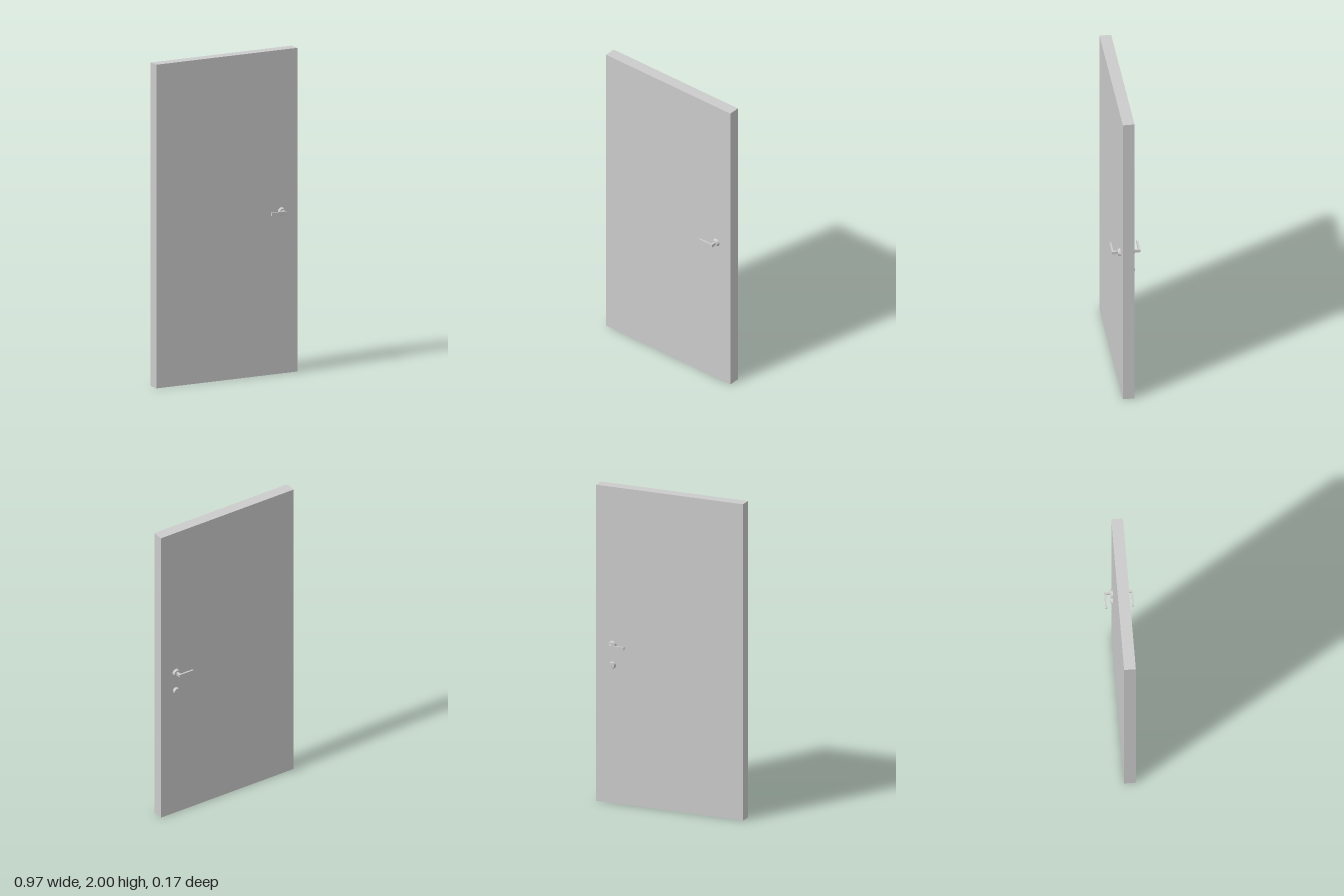
import * as THREE from 'three';

const material = new THREE.MeshStandardMaterial({ color: 0xcccccc });
const HALF_DEPTH = 0.0355; // half the thickness of the door leaf
const HANDLE_X = 0.376;

function add(parent, name, geometry, x = 0, y = 0, z = 0) {
  const mesh = new THREE.Mesh(geometry, material);
  mesh.name = name;
  mesh.position.set(x, y, z);
  parent.add(mesh);
  return mesh;
}

// Tapered round plate, its base on z = 0 and its face toward +z
function roseGeometry(baseRadius, topRadius, depth) {
  return new THREE.CylinderGeometry(topRadius, baseRadius, depth, 32)
    .rotateX(Math.PI / 2)
    .translate(0, 0, depth / 2);
}

// L-shaped lever: the stem leaves the door, the grip runs along it
function leverGeometry(height) {
  const shape = new THREE.Shape();
  const outline = [
    [-0.0065, 0], [0.0065, 0], [0.0065, 0.0515],
    [-0.095, 0.0515], [-0.095, 0.0405], [-0.0065, 0.0405],
  ];
  shape.setFromPoints(outline.map(([x, z]) => new THREE.Vector2(x, -z)));
  return new THREE.ExtrudeGeometry(shape, { depth: height, bevelEnabled: false })
    .translate(0, 0, -height / 2)
    .rotateX(-Math.PI / 2);
}

// Rose and lever for one face; the back turns over so the grip stays level
function makeHandle(name, side) {
  const handle = new THREE.Group();
  handle.name = name;
  add(handle, 'rose', roseGeometry(0.025, 0.018, 0.0155));
  const lever = add(handle, 'lever', leverGeometry(0.018));
  // Turning about x flips z but keeps the grip toward the hinge side
  if (side < 0) handle.rotation.x = Math.PI;
  lever.position.z = 0;
  handle.position.set(HANDLE_X, 1.002, side * HALF_DEPTH);
  return handle;
}

export function createModel() {
  const door = new THREE.Group();
  door.name = 'door';

  // Plain door leaf
  add(door, 'doorLeaf', new THREE.BoxGeometry(0.97, 2, HALF_DEPTH * 2), 0, 1, 0);

  // Lever handles on both faces
  door.add(makeHandle('frontHandle', 1), makeHandle('backHandle', -1));

  // Round lock knob below the back handle
  const lock = add(door, 'lockKnob', roseGeometry(0.022, 0.017, 0.0155), HANDLE_X, 0.874, -HALF_DEPTH);
  lock.rotation.x = Math.PI;

  return door;
}
